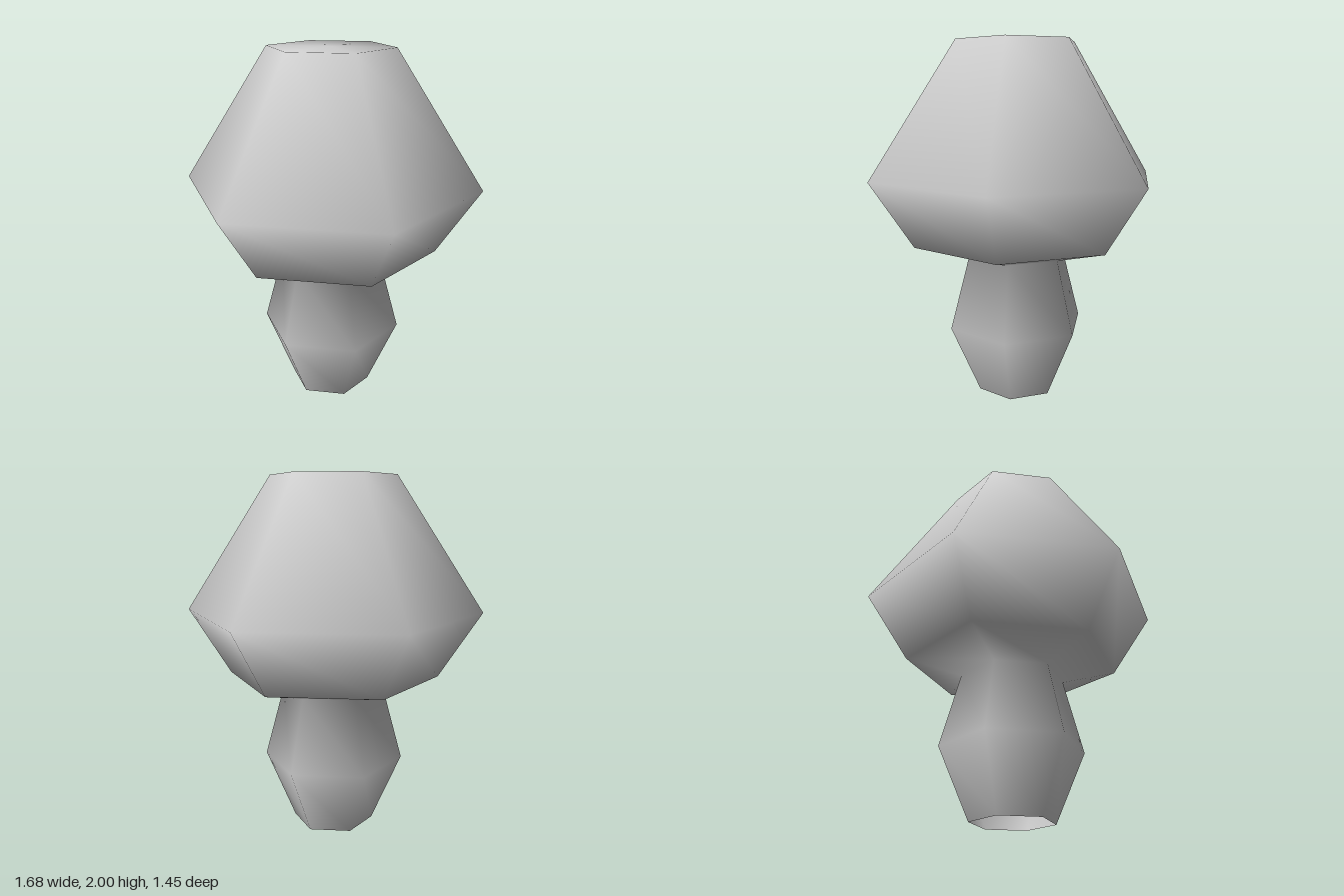
import * as THREE from 'three';

const SIDES = 6;

// Profile [radius, height], from the open foot of the stem to the middle of the cap top
const profile = [
  [0.23, 0],    // foot
  [0.40, 0.39], // stem bulge
  [0.29, 0.80], // neck
  [0.60, 0.88], // cap underside
  [0.84, 1.25], // cap rim
  [0.35, 2.00], // edge of cap top
  [0, 2.00],
];

export function createModel() {
  const group = new THREE.Group();
  group.name = 'mushroom';

  const grey = new THREE.MeshStandardMaterial({ color: 0xcccccc, side: THREE.DoubleSide });
  grey.name = 'light grey';

  // Stem and cap are one smooth six-sided skin, with corners on the x axis
  const points = profile.map(([r, y]) => new THREE.Vector2(r, y));
  const skin = new THREE.Mesh(new THREE.LatheGeometry(points, SIDES, Math.PI / 2), grey);
  skin.name = 'stemAndCap';
  group.add(skin);

  return group;
}
